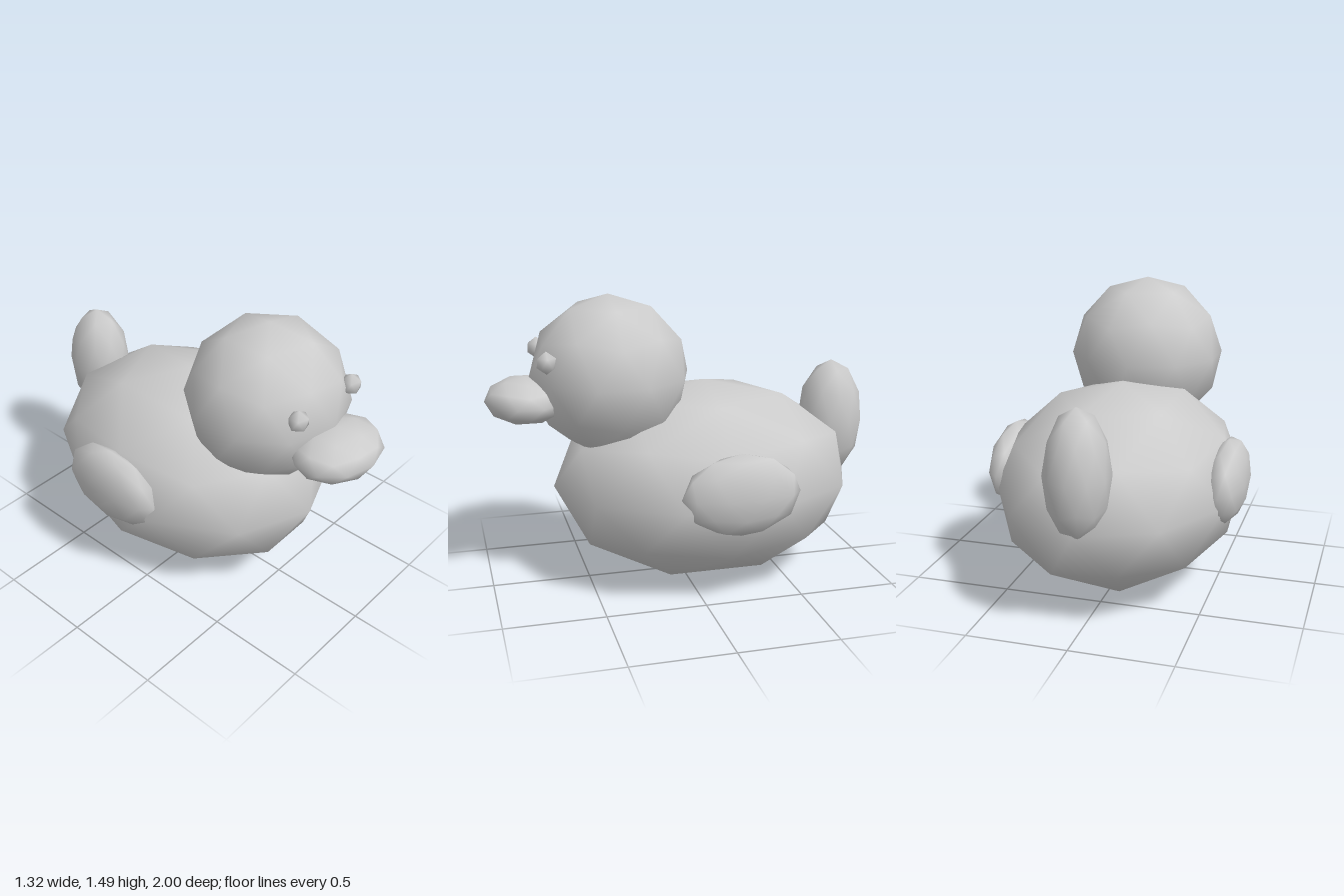
import * as THREE from 'three';
import { mergeVertices } from 'three/addons/utils/BufferGeometryUtils.js';

// Smooth-shaded icosphere standing on one vertex, with an upper ring vertex towards +x
function icosphere(detail) {
  const source = new THREE.IcosahedronGeometry(1, detail);
  source.deleteAttribute('uv');
  source.deleteAttribute('normal');
  const geometry = mergeVertices(source, 1e-4);
  geometry.rotateZ(-Math.atan(2 / (1 + Math.sqrt(5))));
  return geometry;
}

export function createModel() {
  const duck = new THREE.Group();
  duck.name = 'duck';

  const grey = new THREE.MeshStandardMaterial({ color: 0xcccccc });
  grey.name = 'grey';

  const ball = icosphere(1);
  const bead = icosphere(0);

  // Ellipsoid part from its centre and radii
  function blob(name, shape, centre, radii) {
    const geometry = shape.clone().scale(...radii);
    geometry.computeVertexNormals();
    const mesh = new THREE.Mesh(geometry, grey);
    mesh.name = name;
    mesh.position.set(...centre);
    duck.add(mesh);
  }

  blob('body', ball, [0, 0.515, -0.12], [0.622, 0.515, 0.79]);
  blob('head', ball, [0, 1.083, 0.372], [0.405, 0.405, 0.405]);
  blob('bill', ball, [0, 0.98, 0.793], [0.25, 0.115, 0.205]);
  blob('tail', ball, [0, 0.78, -0.825], [0.157, 0.315, 0.175]);

  // Paired parts
  for (const [side, s] of [['left', 1], ['right', -1]]) {
    blob(side + 'Wing', ball, [s * 0.56, 0.583, -0.155], [0.103, 0.207, 0.297]);
    blob(side + 'Eye', bead, [s * 0.2, 1.198, 0.71], [0.056, 0.056, 0.052]);
  }

  return duck;
}
